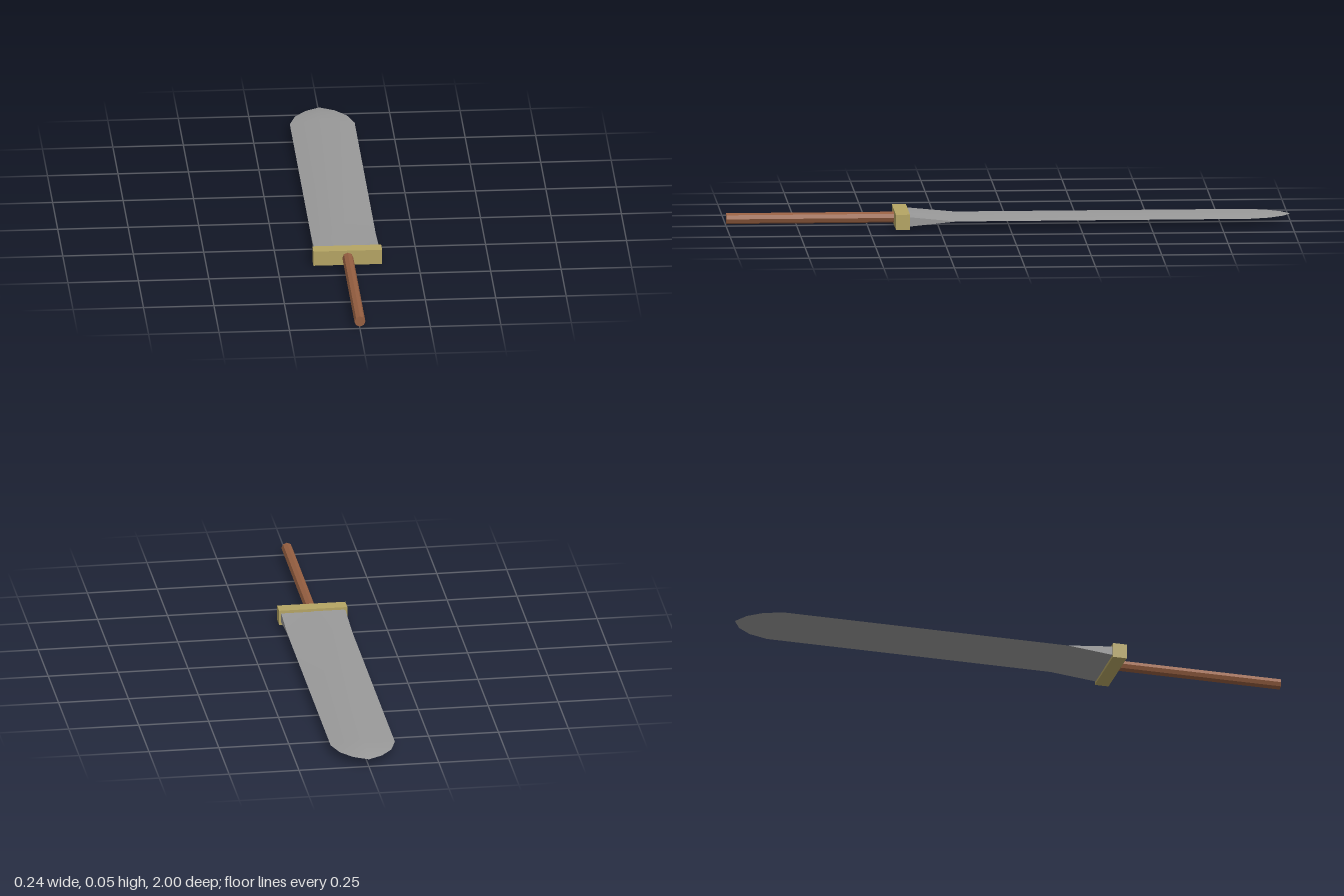
import * as THREE from 'three';
import { toCreasedNormals } from 'three/addons/utils/BufferGeometryUtils.js';

const MID = 0.027; // height of the sword's long axis

// Blade cross-sections: [z, half width, half thickness at ridge, half thickness at edge]
const SECTIONS = [
  [0.37, 0.115, 0.018, 0.018],
  [0.19, 0.115, 0.018, 0],
  [-0.85, 0.115, 0.018, 0],
  [-0.92, 0.092, 0.013, 0],
  [-0.97, 0.052, 0.007, 0],
  [-1, 0, 0, 0],
];

function bladeGeometry() {
  const positions = [];
  const index = [];
  SECTIONS.forEach(([z, w, h, e], s) => {
    const ring = [[-w, e], [0, h], [w, e], [w, -e], [0, -h], [-w, -e]];
    for (const [x, y] of ring) positions.push(x, y, z);
    if (s === SECTIONS.length - 1) return;
    for (let i = 0; i < 6; i++) {
      const a = s * 6 + i;
      const b = s * 6 + ((i + 1) % 6);
      index.push(a, b, b + 6, a, b + 6, a + 6);
    }
  });
  const geometry = new THREE.BufferGeometry();
  geometry.setAttribute('position', new THREE.Float32BufferAttribute(positions, 3));
  geometry.setIndex(index);
  return toCreasedNormals(geometry, Math.PI / 6);
}

export function createModel() {
  const steel = new THREE.MeshStandardMaterial({ name: 'steel', color: 0x999999 });
  const brass = new THREE.MeshStandardMaterial({ name: 'brass', color: 0xb5a564 });
  const wood = new THREE.MeshStandardMaterial({ name: 'wood', color: 0x965f41 });

  const model = new THREE.Group();
  model.name = 'sword';
  const add = (name, geometry, material, z) => {
    const mesh = new THREE.Mesh(geometry, material);
    mesh.name = name;
    mesh.position.set(0, MID, z);
    model.add(mesh);
  };

  // Broad blade: full-thickness root thinning to sharp edges and a rounded point
  add('blade', bladeGeometry(), steel, 0);

  // Rectangular crossguard
  add('guard', new THREE.BoxGeometry(0.244, 0.054, 0.05), brass, 0.38);

  // Eight-sided grip
  const grip = new THREE.CylinderGeometry(0.0195, 0.0195, 0.61, 8).rotateX(Math.PI / 2);
  add('grip', toCreasedNormals(grip, 0.3), wood, 0.695);

  return model;
}
